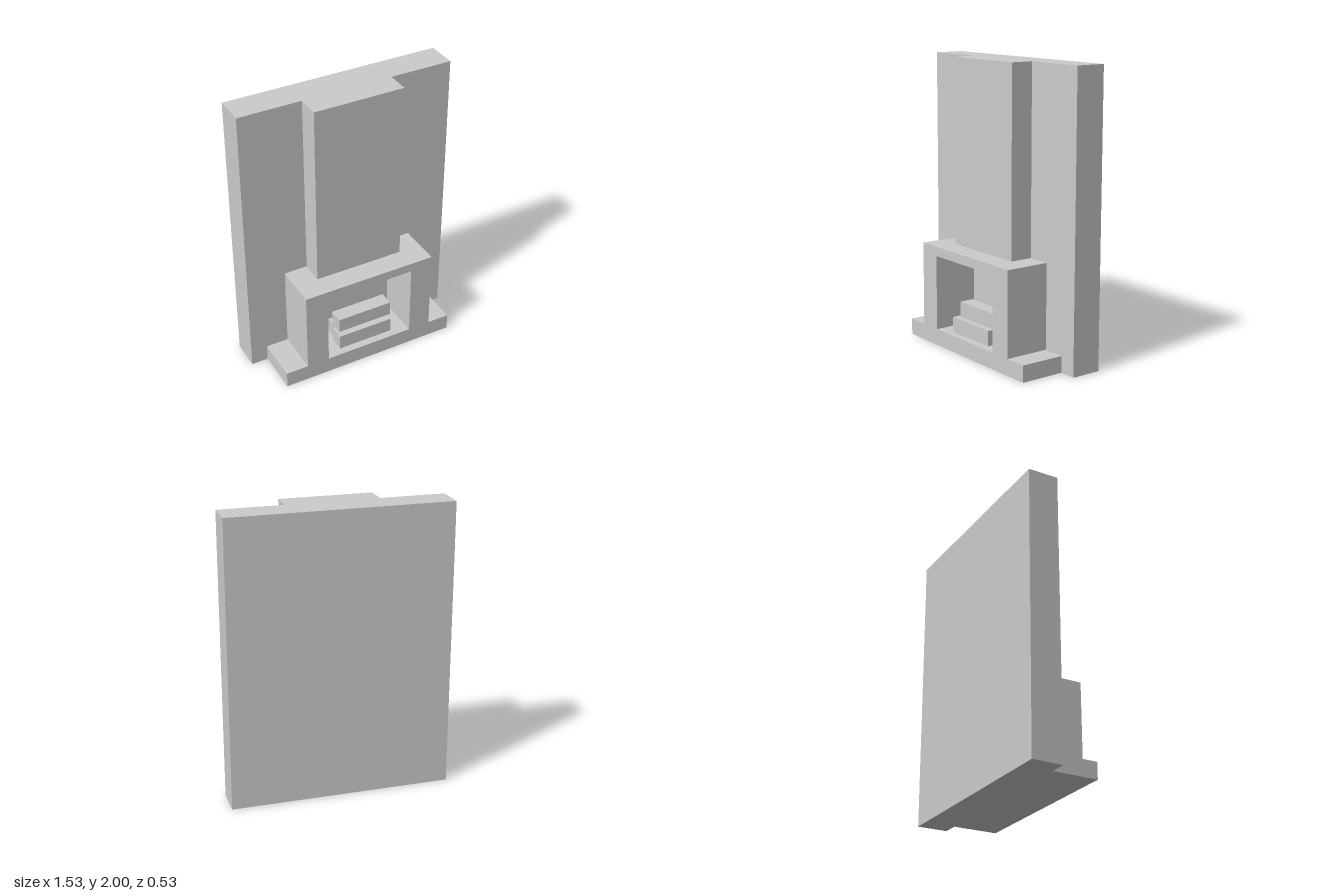
import * as THREE from 'three';

const WALL_FRONT = -0.052, BACK = -0.267, FRONT = 0.267;

export function createModel() {
  const group = new THREE.Group();
  const material = new THREE.MeshStandardMaterial({ color: 0xcccccc, flatShading: true });

  const add = (name, geometry) => {
    const mesh = new THREE.Mesh(geometry, material);
    mesh.name = name;
    group.add(mesh);
  };
  // Box given by its limits on each axis
  const block = (name, [x0, x1], [y0, y1], [z0, z1]) => add(name,
    new THREE.BoxGeometry(x1 - x0, y1 - y0, z1 - z0)
      .translate((x0 + x1) / 2, (y0 + y1) / 2, (z0 + z1) / 2));

  // Wall slab and chimney breast
  block('wall', [-0.765, 0.765], [0, 2], [BACK, WALL_FRONT]);
  block('chimneyBreast', [-0.32, 0.32], [0.705, 2], [WALL_FRONT, 0.11]);

  // Hearth and surround in one outline, with the firebox opening cut through to the wall
  const outline = [[-0.645, 0], [0.645, 0], [0.645, 0.115], [0.485, 0.115],
    [0.485, 0.705], [-0.485, 0.705], [-0.485, 0.115], [-0.645, 0.115]];
  const opening = [[-0.323, 0.115], [-0.323, 0.64], [0.323, 0.64], [0.323, 0.115]];
  const toPoints = (list) => list.map(([x, y]) => new THREE.Vector2(x, y));
  const shape = new THREE.Shape(toPoints(outline));
  shape.holes.push(new THREE.Path(toPoints(opening)));
  add('fireplaceSurround', new THREE.ExtrudeGeometry(shape, { depth: FRONT - WALL_FRONT, bevelEnabled: false })
    .translate(0, 0, WALL_FRONT));

  // Square logs: two on the hearth, one stacked across them
  block('frontLog', [-0.205, 0.2], [0.115, 0.222], [0.107, 0.212]);
  block('backLog', [-0.185, 0.222], [0.115, 0.222], [0.002, 0.107]);
  block('topLog', [-0.185, 0.222], [0.222, 0.328], [0.059, 0.164]);

  return group;
}
